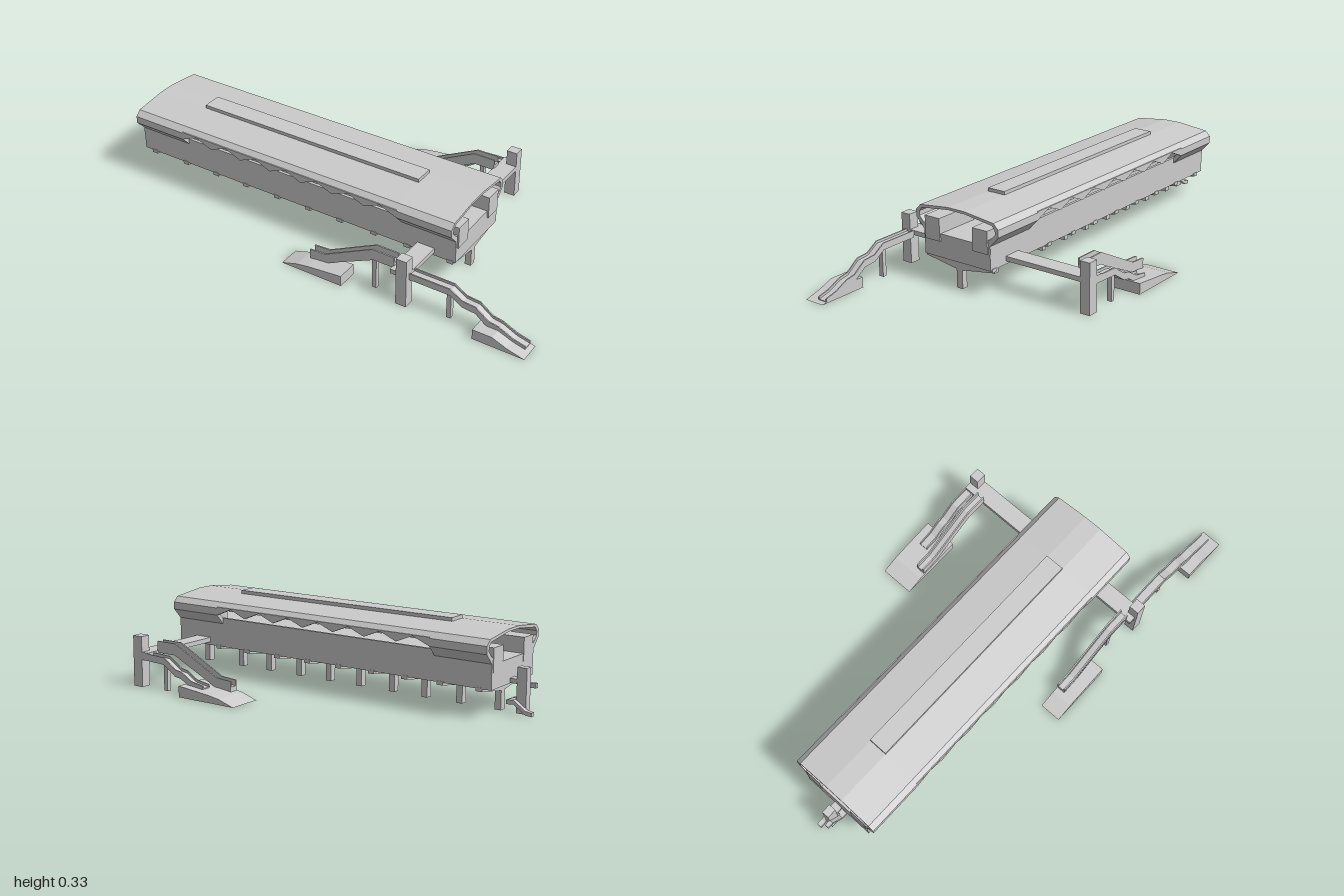
import * as THREE from 'three';

const MID = 0.094; // z of the hall's centre line
const mat = new THREE.MeshStandardMaterial({ color: 0xcccccc, flatShading: true, side: THREE.DoubleSide });

export function createModel() {
  const root = new THREE.Group();
  root.name = 'elevatedStation';

  function add(name, geometry) {
    const mesh = new THREE.Mesh(geometry, mat);
    mesh.name = name;
    root.add(mesh);
    return mesh;
  }
  // box from its minimum and maximum along each axis
  function box(name, x0, x1, y0, y1, z0, z1) {
    const g = new THREE.BoxGeometry(x1 - x0, y1 - y0, z1 - z0);
    g.translate((x0 + x1) / 2, (y0 + y1) / 2, (z0 + z1) / 2);
    return add(name, g);
  }
  const shapeOf = (pts) => new THREE.Shape(pts.map(([a, b]) => new THREE.Vector2(a, b)));
  // (x, y) outline extruded from z0 to z1
  function side(name, pts, z0, z1) {
    const g = new THREE.ExtrudeGeometry(shapeOf(pts), { depth: z1 - z0, bevelEnabled: false });
    g.translate(0, 0, z0);
    return add(name, g);
  }
  // (offset from centre line, y) symmetric section extruded from x0 to x1
  function section(name, pts, x0, x1) {
    const g = new THREE.ExtrudeGeometry(shapeOf(pts), { depth: x1 - x0, bevelEnabled: false });
    g.rotateY(Math.PI / 2);
    g.translate(x0, 0, MID);
    return add(name, g);
  }
  // sloping band following the top line, with constant vertical thickness
  function band(name, line, t, z0, z1) {
    const under = line.map(([x, y]) => [x, Math.max(0, y - t)]).reverse();
    return side(name, [...line, ...under], z0, z1);
  }
  const mirror = (half) => [...half, ...half.map(([a, b]) => [-a, b]).reverse()];

  // roof shell: full-height ends, shorter middle
  const outer = [[0.04, 0.318], [0.178, 0.302], [0.2, 0.28], [0.2, 0.25], [0.158, 0.205]];
  const inner = [[0.04, 0.308], [0.17, 0.291], [0.184, 0.275], [0.184, 0.257], [0.154, 0.226]];
  const shell = (n) => [
    ...mirror(outer.slice(0, n).reverse()),
    ...mirror(inner.slice(0, n).reverse()).reverse(),
  ];
  section('roofEndRight', shell(5), -0.9, -0.66);
  section('roofMiddle', shell(3), -0.66, 0.355);
  section('roofEndLeft', shell(5), 0.355, 0.59);
  box('roofRidge', -0.66, 0.355, 0.312, 0.332, MID - 0.04, MID + 0.04);

  // zigzag valance along both long openings
  const teeth = 7, pitch = 1.015 / teeth;
  const valance = [[0.355, 0.284], [-0.66, 0.284]];
  for (let i = 0; i < teeth; i++) {
    valance.push([-0.66 + i * pitch, 0.25], [-0.66 + (i + 0.5) * pitch, 0.28]);
  }
  valance.push([0.355, 0.25]);
  side('valanceFront', valance, MID + 0.184, MID + 0.2);
  side('valanceBack', valance, MID - 0.2, MID - 0.184);

  // deck, platform and side walls
  box('deck', -0.9, 0.59, 0.11, 0.175, MID - 0.16, MID + 0.16);
  box('platform', -0.9, 0.59, 0.175, 0.205, MID - 0.083, MID + 0.083);
  for (const s of [-1, 1]) {
    const z = MID + s * 0.155;
    box('sideWall', -0.9, 0.59, 0.175, 0.232, z - 0.006, z + 0.006);
    // end cabins over the tracks
    const c = MID + s * 0.116;
    box('endCabin', 0.4, 0.596, 0.175, 0.267, c - 0.036, c + 0.036);
    box('endCabin', -0.902, -0.7, 0.175, 0.267, c - 0.036, c + 0.036);
  }

  // tapered cross ribs on single columns
  const rib = mirror([[0.162, 0.115], [0.162, 0.1], [0.02, 0.077]]);
  for (const x of [-0.85, -0.685, -0.53, -0.38, -0.225, -0.075, 0.075, 0.23, 0.38, 0.567]) {
    section('crossRib', rib, x - 0.013, x + 0.013);
    box('column', x - 0.013, x + 0.013, 0, 0.085, MID - 0.014, MID + 0.014);
  }

  // footbridge with a lift tower at each end
  box('footbridge', 0.425, 0.5, 0.123, 0.142, -0.45, 0.45);
  box('liftTowerFront', 0.455, 0.5, 0, 0.205, 0.415, 0.458);
  box('liftTowerBack', 0.455, 0.5, 0, 0.205, -0.45, -0.407);

  // ground entrances
  const entrance = [[-0.04, 0], [0.23, 0], [0.23, 0.045], [0.08, 0.03], [0.03, 0.022]];
  side('entranceFront', entrance, 0.392, 0.482);
  side('entranceBack', entrance, -0.487, -0.345);
  side('entranceFarLeft', [[0.79, 0], [1, 0], [0.93, 0.018], [0.87, 0.042], [0.79, 0.042]], 0.395, 0.482);

  // escalators: a tread band between two higher balustrades
  const climb = [[0.055, 0.045], [0.12, 0.05], [0.34, 0.155], [0.43, 0.155]];
  const rail = [[0.055, 0.068], [0.125, 0.073], [0.335, 0.18], [0.43, 0.18]];
  for (const z of [0.41, -0.367]) {
    band('escalatorTread', climb, 0.022, z - 0.018, z + 0.018);
    for (const s of [-1, 1]) {
      const c = z + s * 0.016;
      band('escalatorBalustrade', rail, 0.03, c - 0.003, c + 0.003);
    }
  }

  // stairs with low parapets
  function stair(name, line, z0, z1) {
    band(name, line, 0.018, z0, z1);
    const top = line.map(([x, y]) => [x, y + 0.01]);
    band(name + 'Parapet', top, 0.02, z0, z0 + 0.005);
    band(name + 'Parapet', top, 0.02, z1 - 0.005, z1);
  }
  stair('backStair', [[0.14, 0.04], [0.2, 0.05], [0.25, 0.08], [0.28, 0.085], [0.34, 0.125], [0.46, 0.13]], -0.45, -0.41);
  stair('frontStair', [[0.5, 0.132], [0.67, 0.132], [0.72, 0.1], [0.775, 0.095], [0.83, 0.055],
    [0.87, 0.048], [0.93, 0.02], [0.98, 0.008]], 0.395, 0.437);
  box('stairPost', 0.652, 0.67, 0, 0.12, 0.405, 0.425);
  box('stairPost', 0.33, 0.348, 0, 0.14, 0.402, 0.42);
  box('stairPost', 0.33, 0.348, 0, 0.115, -0.44, -0.42);

  // service tower and folded stair at the right end
  box('serviceTower', -0.967, -0.927, 0, 0.175, 0.078, 0.11);
  box('serviceBridge', -0.93, -0.895, 0.112, 0.13, 0.075, 0.112);
  band('lowerFlight', [[-1, 0.015], [-0.975, 0.018], [-0.925, 0.052], [-0.9, 0.052]], 0.016, 0.06, 0.08);
  band('upperFlight', [[-0.99, 0.115], [-0.965, 0.115], [-0.92, 0.053], [-0.895, 0.05]], 0.018, 0.108, 0.124);
  box('flightLanding', -0.915, -0.895, 0.034, 0.05, 0.06, 0.124);

  return root;
}
